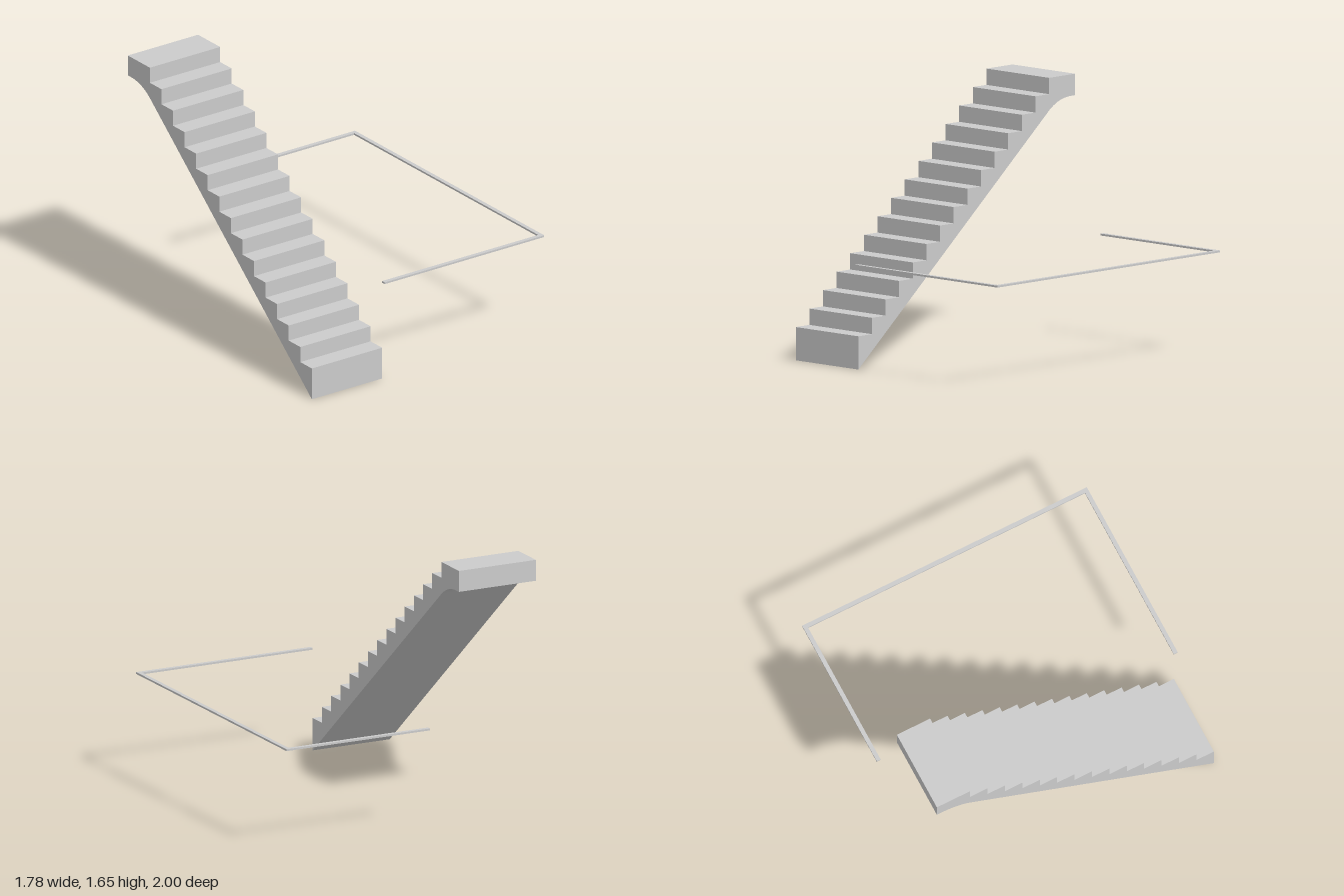
import * as THREE from 'three';
import { toCreasedNormals } from 'three/addons/utils/BufferGeometryUtils.js';

const STEPS = 15;
const TREAD = 0.1223;
const RISE = 0.1029;
const FRONT = 0.973; // foot of the flight along z
const FIRST_TOP = 0.21;

const material = new THREE.MeshStandardMaterial({ color: 0xcccccc });

// Side profile of the flight, drawn with shape x = -z
function stairShape() {
  const shape = new THREE.Shape();
  shape.moveTo(-FRONT, 0);
  // sloped underside, curving into the flat landing soffit
  shape.lineTo(0.735, 1.44);
  shape.quadraticCurveTo(0.824, 1.515, 0.94, 1.515);
  shape.lineTo(FRONT, 1.515);
  shape.lineTo(FRONT, FIRST_TOP + (STEPS - 1) * RISE);
  // steps from the landing back down to the foot
  for (let i = STEPS - 1; i >= 0; i--) {
    const x = -FRONT + i * TREAD;
    shape.lineTo(x, FIRST_TOP + i * RISE);
    if (i > 0) shape.lineTo(x, FIRST_TOP + (i - 1) * RISE);
  }
  shape.closePath();
  return shape;
}

// Three-sided flat outline, drawn with shape y = -z
function frameShape() {
  const right = 0.888, w = 0.027, inner = 1 - w;
  return new THREE.Shape([
    [-0.345, -1], [right, -1], [right, 1], [-0.125, 1],
    [-0.125, inner], [right - w, inner], [right - w, -inner], [-0.345, -inner],
  ].map(([x, y]) => new THREE.Vector2(x, y)));
}

export function createModel() {
  const group = new THREE.Group();

  // Staircase
  const stairGeometry = new THREE.ExtrudeGeometry(stairShape(), {
    depth: 0.543, bevelEnabled: false, curveSegments: 16,
  });
  stairGeometry.rotateY(Math.PI / 2).translate(-0.888, 0, 0);
  const stairs = new THREE.Mesh(toCreasedNormals(stairGeometry, 0.4), material);
  stairs.name = 'staircase';
  group.add(stairs);

  // Thin open frame beside the stairs
  const frameGeometry = new THREE.ExtrudeGeometry(frameShape(), {
    depth: 0.012, bevelEnabled: false,
  });
  frameGeometry.rotateX(-Math.PI / 2).translate(0, 0.653, 0);
  const frame = new THREE.Mesh(frameGeometry, material);
  frame.name = 'openingFrame';
  group.add(frame);

  return group;
}
